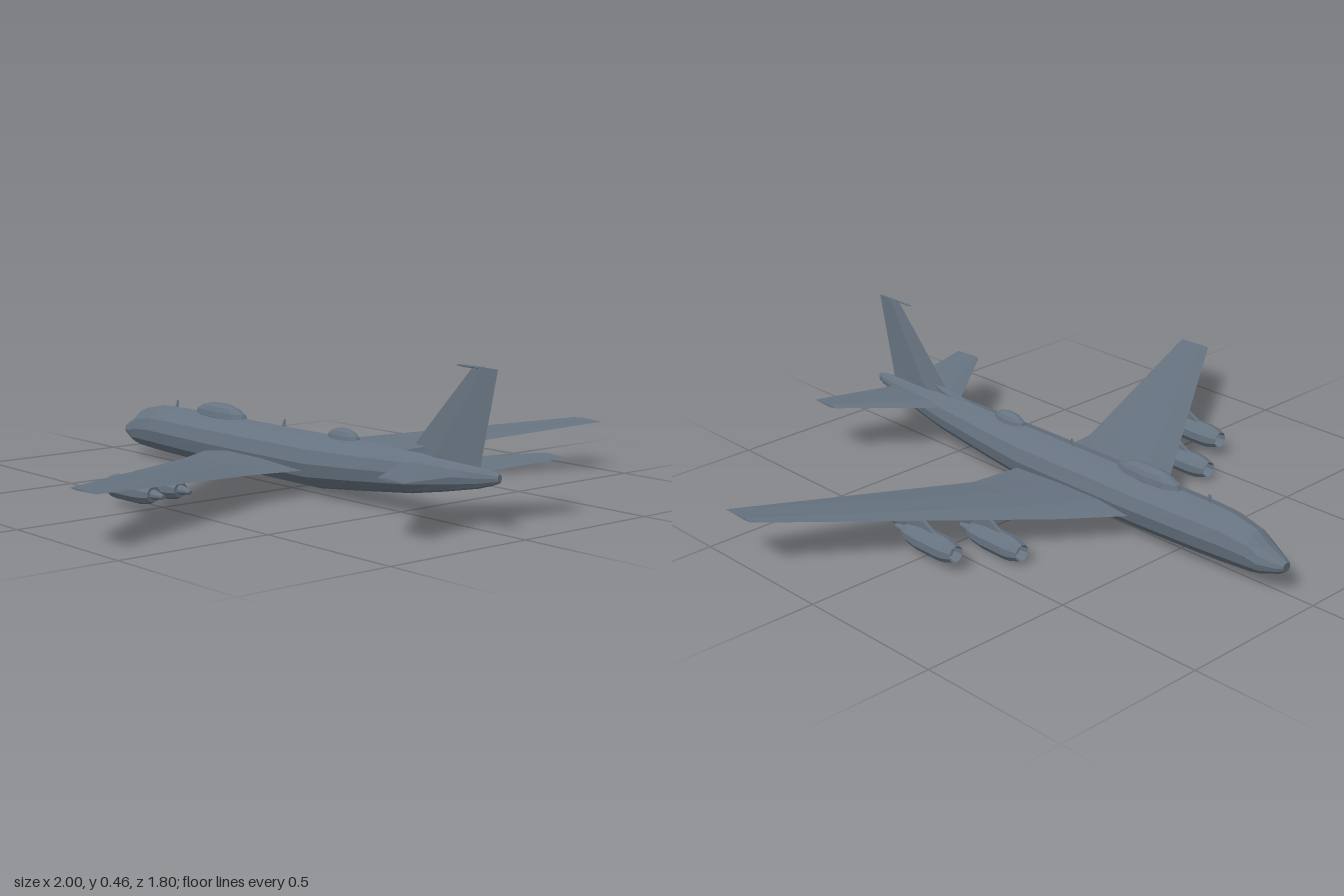
import * as THREE from 'three';

const material = new THREE.MeshStandardMaterial({ color: 0x667380, flatShading: true, roughness: 0.8 });

// Skin a row of equal-length rings, close both ends, and face everything outward
function loft(name, rings) {
  const tris = [];
  const n = rings[0].length;
  for (let i = 0; i < rings.length - 1; i++) {
    for (let j = 0; j < n; j++) {
      const k = (j + 1) % n;
      const [a, b, c, d] = [rings[i][j], rings[i][k], rings[i + 1][k], rings[i + 1][j]];
      tris.push([a, b, c], [a, c, d]);
    }
  }
  const first = rings[0], last = rings[rings.length - 1];
  for (let j = 1; j < n - 1; j++) {
    tris.push([first[0], first[j + 1], first[j]], [last[0], last[j], last[j + 1]]);
  }
  let volume = 0;
  const o = first[0];
  for (const t of tris) {
    const [a, b, c] = t.map((p) => new THREE.Vector3(p[0] - o[0], p[1] - o[1], p[2] - o[2]));
    volume += a.dot(b.cross(c));
  }
  if (volume < 0) tris.forEach((t) => t.reverse());
  const geometry = new THREE.BufferGeometry();
  geometry.setAttribute('position', new THREE.Float32BufferAttribute(tris.flat(2), 3));
  geometry.computeVertexNormals();
  const mesh = new THREE.Mesh(geometry, material);
  mesh.name = name;
  return mesh;
}

// Oval ring across the z axis
function oval(x, z, halfWidth, bottom, top, sides) {
  const mid = (top + bottom) / 2, h = (top - bottom) / 2;
  return Array.from({ length: sides }, (_, i) => {
    const a = (i / sides) * Math.PI * 2;
    return [x + halfWidth * Math.sin(a), mid + h * Math.cos(a), z];
  });
}

// Wing section: leading edge, upper crown, trailing edge, lower crown
function airfoil(x, zLead, zTrail, yEdge, yTop, yBottom) {
  const at = (f) => zLead + (zTrail - zLead) * f;
  return [
    [x, yEdge, zLead], [x, yTop, at(0.25)], [x, yTop - 0.002, at(0.6)],
    [x, yEdge, zTrail], [x, yBottom + 0.002, at(0.6)], [x, yBottom, at(0.25)],
  ];
}

// Upright fin section at height y
function finSection(y, zLead, zTrail, half) {
  const zMid = zLead + (zTrail - zLead) * 0.4;
  return [[0, y, zLead], [half, y, zMid], [0, y, zTrail], [-half, y, zMid]];
}

export function createModel() {
  const model = new THREE.Group();
  model.name = 'airplane';

  // Fuselage: z, half width, bottom, top
  const body = [
    [-0.9, 0.016, 0.074, 0.103], [-0.885, 0.027, 0.064, 0.11], [-0.83, 0.051, 0.045, 0.136],
    [-0.79, 0.057, 0.036, 0.168], [-0.69, 0.07, 0.031, 0.19], [-0.6, 0.077, 0.029, 0.193],
    [-0.35, 0.083, 0.024, 0.194], [0.14, 0.081, 0.022, 0.195], [0.32, 0.071, 0.041, 0.195],
    [0.55, 0.054, 0.067, 0.196], [0.68, 0.038, 0.091, 0.19], [0.82, 0.021, 0.12, 0.181],
    [0.88, 0.014, 0.138, 0.177], [0.9, 0.008, 0.146, 0.172],
  ];
  model.add(loft('fuselage', body.map(([z, w, b, t]) => oval(0, z, w, b, t, 12))));

  // Wings, tailplanes and engines on both sides
  for (const [s, side] of [[1, 'left'], [-1, 'right']]) {
    model.add(loft(`${side}Wing`, [
      airfoil(0, -0.4, 0.135, 0.08, 0.096, 0.029),
      airfoil(s * 0.08, -0.35, 0.135, 0.085, 0.1, 0.045),
      airfoil(s * 0.26, -0.227, 0.14, 0.094, 0.109, 0.081),
      airfoil(s * 1, 0.275, 0.4, 0.164, 0.167, 0.161),
    ]));
    model.add(loft(`${side}Tailplane`, [
      airfoil(0, 0.508, 0.795, 0.158, 0.168, 0.149),
      airfoil(s * 0.32, 0.75, 0.855, 0.178, 0.182, 0.174),
    ]));

    for (const [x, y, z, label] of [[0.415, 0.043, -0.245, 'Inner'], [0.585, 0.064, -0.145, 'Outer']]) {
      const engine = new THREE.Group();
      engine.name = `${side}${label}Engine`;
      // Nacelle with recessed intake: z offset, radius
      const profile = [
        [0.035, 0.004], [0.03, 0.02], [0, 0.026], [0.03, 0.036], [0.06, 0.039],
        [0.15, 0.038], [0.2, 0.031], [0.22, 0.024], [0.22, 0.016], [0.27, 0.006],
      ];
      engine.add(loft('nacelle', profile.map(([dz, r]) => oval(s * x, z + dz, r, y - r, y + r, 10))));
      // Pylon rising into the wing
      const wingY = 0.094 + (x - 0.26) * 0.0946;
      const slab = (py, z0, z1) => [
        [s * x - 0.006, py, z0], [s * x + 0.006, py, z0],
        [s * x + 0.006, py, z1], [s * x - 0.006, py, z1],
      ];
      engine.add(loft('pylon', [slab(y + 0.02, z + 0.06, z + 0.2), slab(wingY, z + 0.14, z + 0.26)]));
      model.add(engine);
    }
  }

  // Tail fin with a low dorsal fillet and a forward probe at its tip
  model.add(loft('tailFin', [
    finSection(0.165, 0.5, 0.822, 0.012),
    finSection(0.212, 0.556, 0.831, 0.011),
    finSection(0.462, 0.79, 0.886, 0.004),
  ]));
  model.add(loft('dorsalFillet', [
    finSection(0.185, 0.36, 0.7, 0.012), finSection(0.214, 0.55, 0.7, 0.006),
  ]));
  model.add(loft('finProbe', [
    oval(0, 0.727, 0.002, 0.459, 0.463, 6),
    oval(0, 0.75, 0.004, 0.457, 0.465, 6),
    oval(0, 0.83, 0.004, 0.457, 0.465, 6),
  ]));

  // Two streamlined blisters on the spine
  for (const [name, z, halfLength, halfWidth, height] of [
    ['forwardBlister', -0.365, 0.135, 0.03, 0.046], ['rearBlister', 0.245, 0.072, 0.024, 0.036],
  ]) {
    const dome = new THREE.Mesh(new THREE.SphereGeometry(1, 10, 8), material);
    dome.scale.set(halfWidth, height, halfLength);
    dome.position.set(0, 0.188, z);
    dome.name = name;
    model.add(dome);
  }

  // Swept blade antennas on the spine
  for (const [name, z] of [['forwardAntenna', -0.615], ['midAntenna', -0.045]]) {
    model.add(loft(name, [
      finSection(0.185, z - 0.012, z + 0.014, 0.003), finSection(0.217, z + 0.004, z + 0.014, 0.002),
    ]));
  }
  return model;
}
